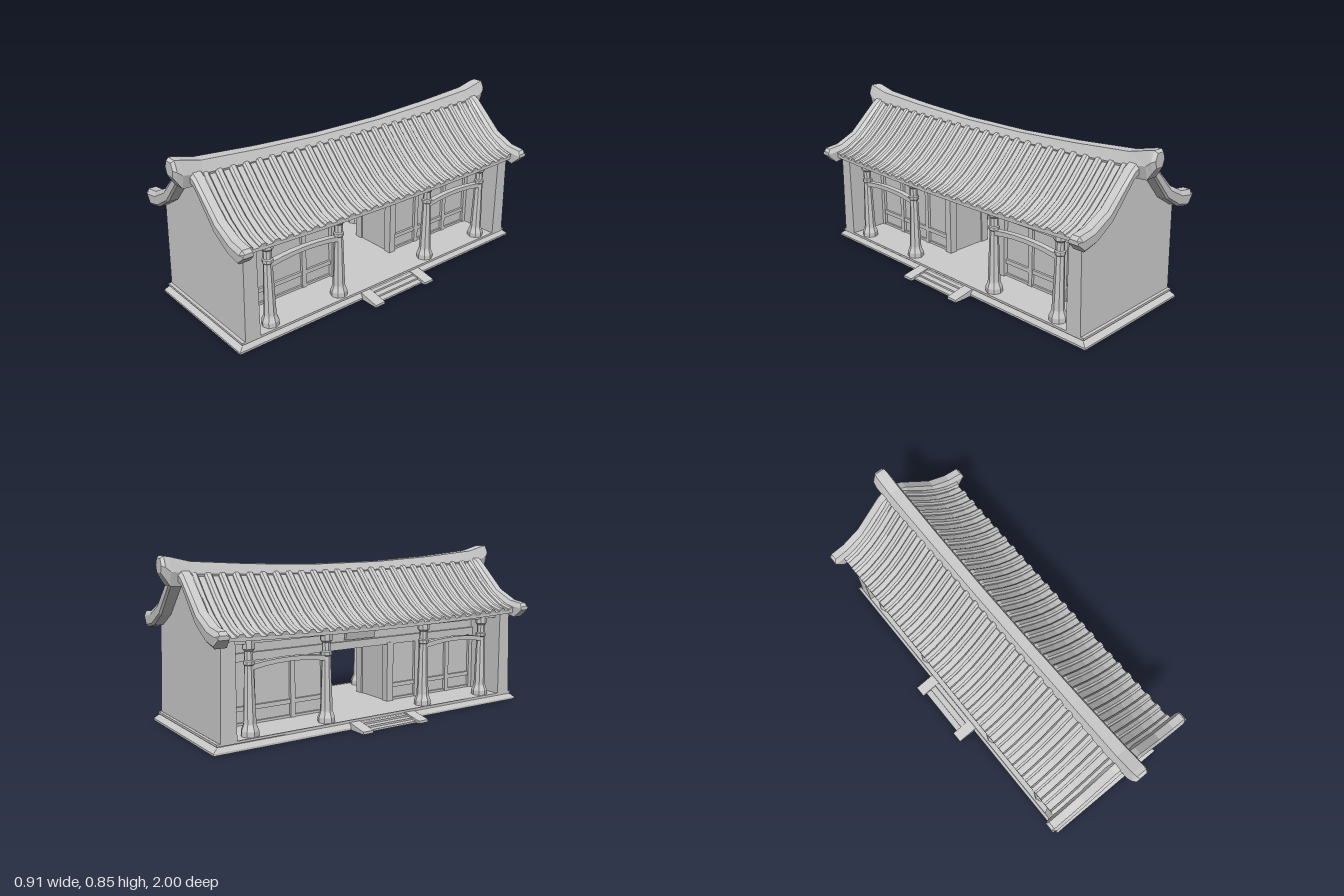
import * as THREE from 'three';

const mat = new THREE.MeshStandardMaterial({ color: 0xcccccc, flatShading: true });
const V = (x, y, z) => new THREE.Vector3(x, y, z);

// Skin a list of equal-length rings; caps the ends, or joins last ring to first when closed
function loft(rings, closed = false) {
  const n = rings[0].length, m = rings.length, tris = [];
  for (let i = 0; i < (closed ? m : m - 1); i++) {
    const a = rings[i], b = rings[(i + 1) % m];
    for (let j = 0; j < n; j++) {
      const k = (j + 1) % n;
      tris.push([a[j], a[k], b[k]], [a[j], b[k], b[j]]);
    }
  }
  if (!closed) {
    // strips across the ring, so bent sections cap cleanly
    const first = rings[0], last = rings[m - 1];
    for (let j = 0; j < n / 2 - 1; j++) {
      const [p, q, r, t] = [j, j + 1, n - 2 - j, n - 1 - j];
      tris.push([first[r], first[q], first[p]], [first[t], first[r], first[p]]);
      tris.push([last[p], last[q], last[r]], [last[p], last[r], last[t]]);
    }
  }
  // turn the skin outwards
  const volume = tris.reduce((s, [a, b, c]) => s + a.dot(b.clone().cross(c)), 0);
  const pts = tris.flatMap(([a, b, c]) => (volume < 0 ? [a, c, b] : [a, b, c]));
  const g = new THREE.BufferGeometry().setFromPoints(pts);
  g.computeVertexNormals();
  return g;
}

export function createModel() {
  const root = new THREE.Group();
  root.name = 'gabledHall';
  const add = (name, geo, x = 0, y = 0, z = 0) => {
    const mesh = new THREE.Mesh(geo, mat);
    mesh.name = name;
    mesh.position.set(x, y, z);
    root.add(mesh);
    return mesh;
  };
  // box given by its limits
  const box = (name, x0, x1, y0, y1, z0, z1) =>
    add(name, new THREE.BoxGeometry(Math.abs(x1 - x0), y1 - y0, Math.abs(z1 - z0)),
      (x0 + x1) / 2, (y0 + y1) / 2, (z0 + z1) / 2);

  // Plinth: moulded rim around a floor that is open below the two rooms
  const rim = [[.355, .92, 0], [.355, .92, .01], [.343, .9, .028], [.338, .895, .03],
    [.338, .895, .034], [.343, .9, .034], [.343, .9, .045], [.335, .885, .045], [.335, .885, 0]];
  add('plinthRim', loft(rim.map(([x, z, y]) => [V(-x, y, -z), V(x, y, -z), V(x, y, z), V(-x, y, z)]), true));
  const rect = (S, x0, x1, y0, y1) => {
    const s = new S();
    s.moveTo(x0, y0).lineTo(x1, y0).lineTo(x1, y1).lineTo(x0, y1).closePath();
    return s;
  };
  const floor = rect(THREE.Shape, -.336, .336, -.886, .886);
  floor.holes.push(rect(THREE.Path, -.1, .1, .2, .8), rect(THREE.Path, -.1, .1, -.8, -.2));
  const floorGeo = new THREE.ExtrudeGeometry(floor, { depth: .025, bevelEnabled: false });
  add('floor', floorGeo.rotateX(-Math.PI / 2), 0, .018, 0);

  // Gable end walls, outer face leaning slightly inwards
  const half = [[.343, .04], [.343, .49], [.31, .505], [.215, .565], [.07, .72], [.03, .735]];
  const outline = [...half, ...half.map(([x, y]) => [-x, y]).reverse()];
  for (const s of [-1, 1]) {
    add('gableWall', loft([
      outline.map(([x, y]) => V(x, y, s * .8)),
      outline.map(([x, y]) => V(x, y, s * (.882 - .03 * (y - .04)))),
    ]));
  }

  // Roof slopes: a slab sagging along its length
  const slope = [[0, .752], [.045, .742], [.075, .71], [.14, .642], [.22, .572], [.3, .523], [.345, .507], [.375, .5]];
  const sag = z => .018 * (z / .87) ** 2 - .008;
  for (const s of [-1, 1]) {
    const rings = [];
    for (let i = 0; i <= 12; i++) {
      const z = -.88 + 1.76 * i / 12;
      const top = slope.map(([x, y]) => V(s * x, y + sag(z), z));
      const bottom = slope.map(([x, y]) => V(s * x, y - .016 + sag(z), z)).reverse();
      rings.push([...top, ...bottom]);
    }
    add('roofSlope', loft(rings));

    // Rolls of round tile
    for (let i = 0; i < 25; i++) {
      const z = (i - 12) * .0712;
      const path = slope.map(([x, y]) => [x, y + sag(z)]);
      add('tileRoll', loft(path.map(([x, y], k) => {
        const p = path[Math.max(k - 1, 0)], q = path[Math.min(k + 1, path.length - 1)];
        const len = Math.hypot(q[0] - p[0], q[1] - p[1]);
        const nx = (p[1] - q[1]) / len, ny = (q[0] - p[0]) / len;
        return [[-.02, -.008], [-.019, .007], [-.01, .016], [.01, .016], [.019, .007], [.02, -.008]]
          .map(([w, h]) => V(s * (x + nx * h), y + ny * h, z + w));
      })));
    }

    // Verges over the gables, flaring at the eaves: top and bottom point pairs
    const verge = [[0, .79, 0, .722], [.05, .775, .035, .722], [.075, .76, .07, .708], [.235, .61, .21, .55],
      [.34, .56, .31, .49], [.418, .549, .388, .472]];
    for (const e of [-1, 1]) {
      const rings = verge.map(([tx, ty, bx, by]) => {
        const at = (t, z) => V(s * (bx + (tx - bx) * t), by + (ty - by) * t, e * z);
        return [at(0, .862), at(0, .916), at(.15, .926), at(.7, .928), at(1, .915), at(1, .876), at(.7, .862), at(.15, .862)];
      });
      const last = rings[rings.length - 1];
      rings.push(last.map(p => V(s * .431, .527 + (p.y - .527) * .25, e * .897 + (p.z - e * .897) * .8)));
      add('verge', loft(rings));
    }
  }

  // Ridge beam with upturned ends: |z|, bottom, top, width factor
  const ridge = [[1, .77, .835, .68], [.985, .745, .845, .92], [.962, .71, .842, 1], [.86, .705, .817, 1],
    [.55, .7, .795, .92], [.2, .7, .78, .86]];
  const stations = [...ridge.map(([z, ...r]) => [-z, ...r]), ...ridge.slice().reverse()];
  add('ridge', loft(stations.map(([z, b, t, w]) => {
    const m = b + (t - b) * .5;
    return [[-.035, b], [.035, b], [.05, m], [.03, t], [-.03, t], [-.05, m]].map(([x, y]) => V(x * w, y, z));
  })));

  // Columns: octagonal foot, tapering shaft, stepped head
  const columnGeo = new THREE.LatheGeometry([[0, .04], [.043, .04], [.043, .068], [.034, .09], [.031, .1],
    [.022, .365], [.027, .37], [.027, .385], [.021, .39], [.021, .43], [.03, .44], [.03, .48], [0, .48]]
    .map(([x, y]) => new THREE.Vector2(x, y)), 8);

  // Arched tie between two columns
  const arch = new THREE.Shape();
  arch.moveTo(-.19, .345).quadraticCurveTo(0, .382, .19, .345).lineTo(.19, .37).quadraticCurveTo(0, .4, -.19, .37);
  const archGeo = new THREE.ExtrudeGeometry(arch, { depth: .03, bevelEnabled: false, curveSegments: 6 })
    .translate(0, 0, -.015).rotateY(Math.PI / 2);

  for (const s of [-1, 1]) {
    // Porch
    for (const z of [-.71, -.3, .3, .71]) add('column', columnGeo, s * .29, 0, z);
    for (const z of [-.505, .505]) add('archedTie', archGeo, s * .29, 0, z);
    box('eavesBeam', s * .272, s * .308, .465, .497, -.8, .8);
    box('porchCeiling', s * .1, s * .29, .468, .478, -.8, .8);

    // Inner front: upper wall, lintel and blank panel over the doorway
    box('upperWall', s * .1, s * .12, .38, .475, -.8, .8);
    box('lintel', s * .095, s * .135, .35, .39, -.8, .8);
    const panel = box('doorPanel', s * .14, s * .155, .4, .46, -.09, .09);
    panel.rotation.z = -s * .2;

    for (const e of [-1, 1]) {
      box('roomWall', s * .1, s * .115, .035, .38, e * .2, e * .8);
      box('doorJamb', s * .095, s * .14, .04, .36, e * .182, e * .222);
      for (const z of [.39, .61, .79]) box('wallPost', s * .085, s * .13, .04, .35, e * (z - .013), e * (z + .013));
      box('dadoRail', s * .088, s * .127, .112, .134, e * .2, e * .8);
      box('sill', s * .1, s * .125, .04, .055, e * .2, e * .8);

      // Step cheeks
      const cheek = [[.335, 0], [.335, .034], [.345, .034], [.455, .013], [.455, 0]];
      add('stepCheek', loft([.14, .2].map(z => cheek.map(([x, y]) => V(s * x, y, e * z)))));
    }
    // Treads
    [.335, .368, .4].forEach((x, i) =>
      box('tread', s * x, s * (x + .032), 0, .027 - .009 * i, -.14, .14));
  }

  // Passage walls between the two doorways
  for (const e of [-1, 1]) box('passageWall', -.1, .1, .035, .475, e * .19, e * .21);

  return root;
}
